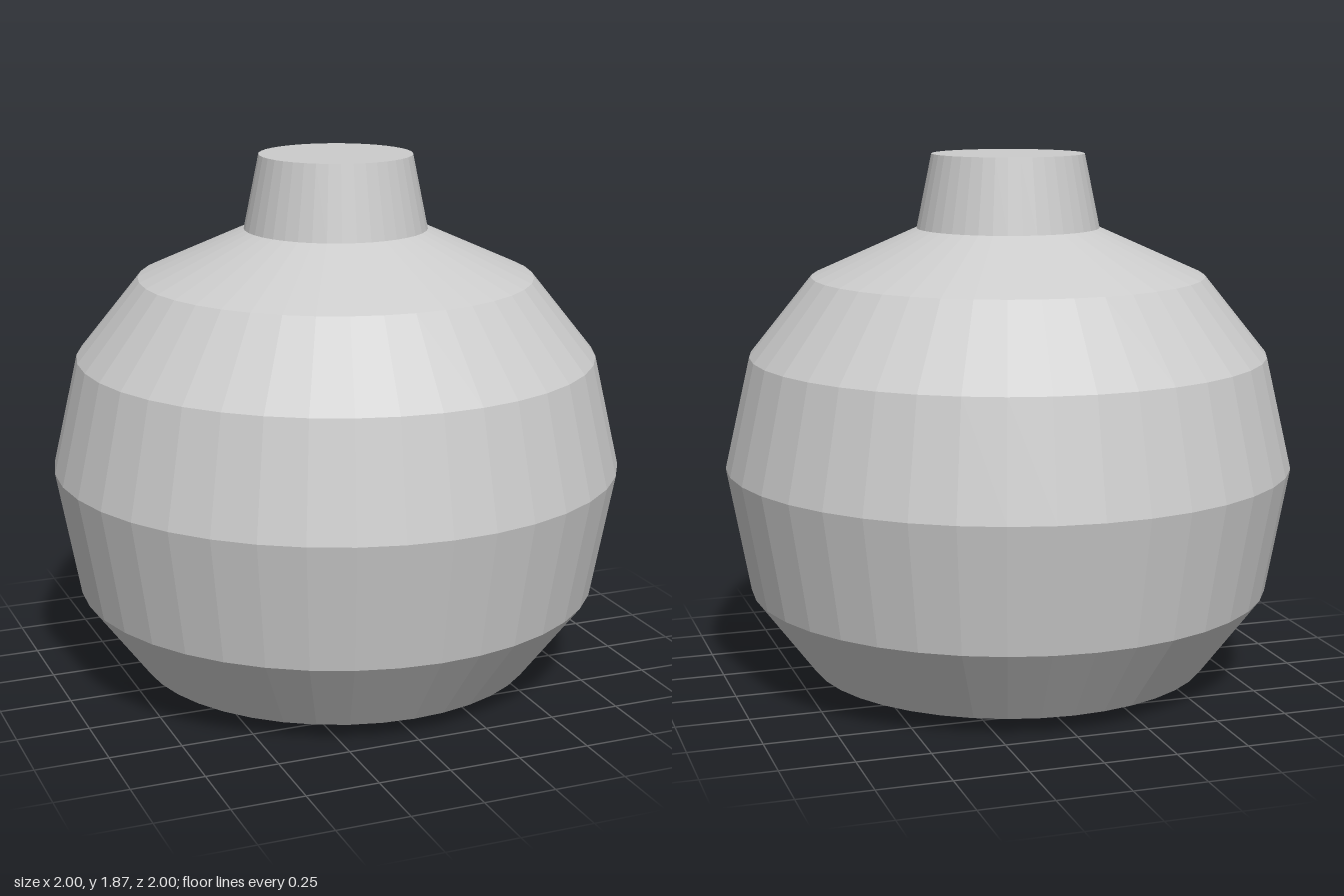
import * as THREE from 'three';

const SEGMENTS = 40;

// Faceted solid of revolution from [radius, height] pairs, listed bottom to top
function turned(name, profile, material) {
  const points = profile.map(([r, y]) => new THREE.Vector2(r, y));
  const geometry = new THREE.LatheGeometry(points, SEGMENTS).toNonIndexed();
  geometry.computeVertexNormals();
  const mesh = new THREE.Mesh(geometry, material);
  mesh.name = name;
  return mesh;
}

export function createModel() {
  const grey = new THREE.MeshStandardMaterial({ color: 0xcccccc });
  grey.name = 'grey';

  const vase = new THREE.Group();
  vase.name = 'vase';

  // Closed foot, with a shallow bevel up to the body
  vase.add(turned('foot', [[0, 0], [0.535, 0], [0.71, 0.06]], grey));

  // Round belly and sloping shoulder
  vase.add(turned('body', [
    [0.71, 0.06], [0.92, 0.34], [1, 0.783], [0.91, 1.173], [0.69, 1.447], [0.32, 1.613],
  ], grey));

  // Tapered neck with a flat closed top
  vase.add(turned('neck', [[0.32, 1.613], [0.267, 1.87], [0, 1.87]], grey));

  return vase;
}
